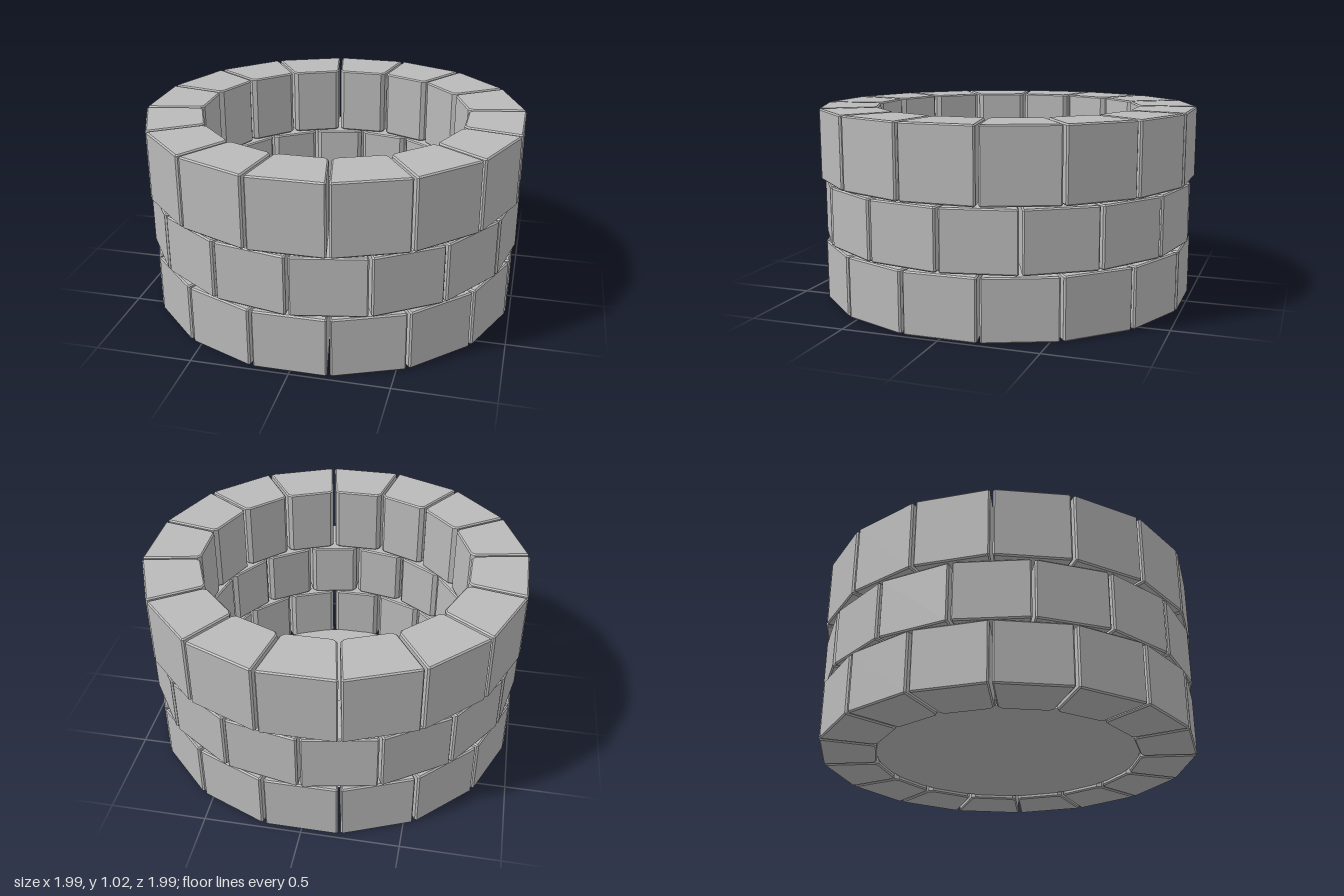
import * as THREE from 'three';

const COUNT = 16;
const BEVEL = 0.007;

// Wedge brick with chamfered corners; inner and outer are face distances from the axis
function brickGeometry(inner, outer, height) {
  const gap = 0.007;
  const slope = Math.tan(Math.PI / COUNT);
  const wi = inner * slope - gap;
  const wo = outer * slope - gap;
  const ci = 0.018, co = 0.009;
  const right = [
    [wi - ci, inner], [wi + ci * slope, inner + ci],
    [wo - co * slope, outer - co], [wo - co, outer],
  ];
  const left = right.map(([x, y]) => [-x, y]).reverse();
  const shape = new THREE.Shape([...right, ...left].map(([x, y]) => new THREE.Vector2(x, y)));
  const geometry = new THREE.ExtrudeGeometry(shape, {
    depth: height - 2 * BEVEL,
    bevelEnabled: true,
    bevelSegments: 1,
    bevelSize: BEVEL,
    bevelThickness: BEVEL,
    bevelOffset: -BEVEL,
  });
  geometry.translate(0, 0, BEVEL);
  geometry.rotateX(-Math.PI / 2);
  return geometry;
}

export function createModel() {
  const model = new THREE.Group();
  model.name = 'stoneWell';

  const stone = new THREE.MeshStandardMaterial({ color: 0xbababa });
  stone.name = 'grey stone';
  stone.side = THREE.DoubleSide;

  // Three courses of bricks, the middle one shifted by half a brick
  const courses = [
    { name: 'bottomCourse', y: 0, height: 0.315, inner: 0.692, outer: 0.98, shift: 0 },
    { name: 'middleCourse', y: 0.324, height: 0.31, inner: 0.694, outer: 0.981, shift: 0.5 },
    { name: 'topCourse', y: 0.644, height: 0.372, inner: 0.697, outer: 0.995, shift: 0 },
  ];
  for (const { name, y, height, inner, outer, shift } of courses) {
    const course = new THREE.Group();
    course.name = name;
    course.position.y = y;
    const geometry = brickGeometry(inner, outer, height);
    for (let i = 0; i < COUNT; i++) {
      const brick = new THREE.Mesh(geometry, stone);
      brick.name = 'brick';
      brick.rotation.y = ((i + shift) / COUNT) * Math.PI * 2;
      course.add(brick);
    }
    model.add(course);
  }

  // Round floor just above the underside
  const floor = new THREE.Mesh(new THREE.CircleGeometry(0.697, 64), stone);
  floor.name = 'floor';
  floor.rotation.x = -Math.PI / 2;
  floor.position.y = 0.02;
  model.add(floor);

  return model;
}
